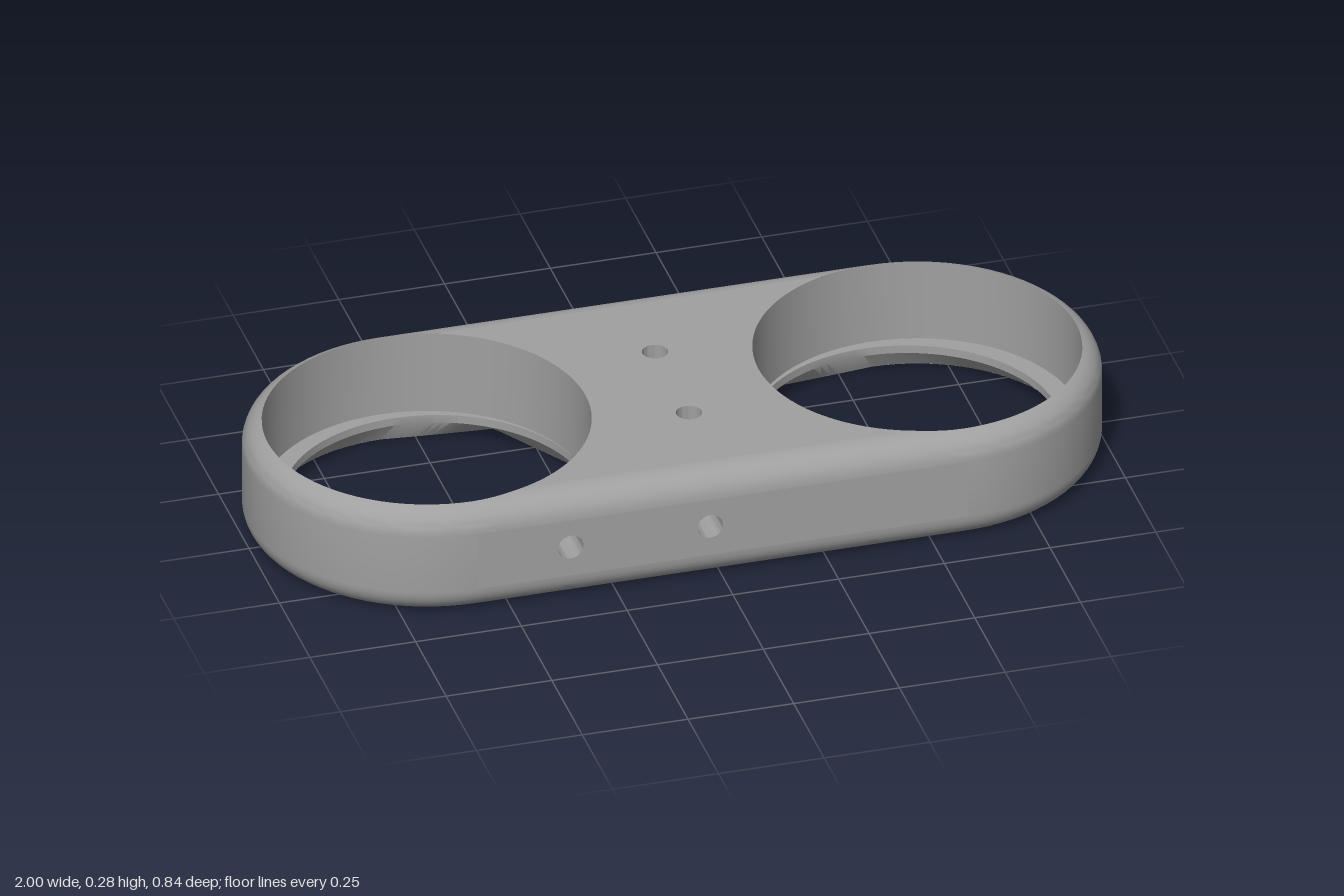
import * as THREE from 'three';
import { mergeGeometries, toCreasedNormals } from 'three/addons/utils/BufferGeometryUtils.js';

const H = 0.275, R = 0.42, C = 0.58, F = 0.065;      // height, end radius, end centre, fillet
const BORE = 0.375, LIP = 0.35, LIP_C = 0.555;
const PIN = 0.03, N = 120;

// Quads between rows of points; skip(row, column) leaves openings
function grid(rows, skip = () => false) {
  const w = rows[0].length, index = [];
  for (let r = 0; r < rows.length - 1; r++) {
    for (let c = 0; c < w - 1; c++) {
      if (skip(r, c)) continue;
      const a = r * w + c, b = a + w;
      index.push(a, b, a + 1, a + 1, b, b + 1);
    }
  }
  const g = new THREE.BufferGeometry();
  g.setAttribute('position', new THREE.Float32BufferAttribute(rows.flat(2), 3));
  g.setIndex(index);
  return g.toNonIndexed();
}

// Flat piece with round holes, stripped to positions
function flat(points, holes) {
  const shape = new THREE.Shape(points.map(p => new THREE.Vector2(p[0], p[1])));
  for (const [x, y] of holes) {
    shape.holes.push(new THREE.Path().absarc(x, y, PIN, 0, Math.PI * 2, true));
  }
  const g = new THREE.ShapeGeometry(shape, 16).toNonIndexed();
  g.deleteAttribute('uv');
  g.deleteAttribute('normal');
  return g;
}

// Height lost to the rounded edge at a point
function edgeDrop(x, z) {
  const inset = R - Math.hypot(Math.max(Math.abs(x) - C, 0), z);
  return inset >= F ? 0 : F - Math.sqrt(Math.max(0, F * F - (F - inset) ** 2));
}

// Radius of the faceted underside recess, angle measured from the outward end
function recessRadius(a) {
  const c = -Math.cos(a), s = Math.abs(Math.sin(a));
  if (c <= 0) return BORE;
  const cuts = [[1, 0, 0.45], [0.849, 0.529, 0.4087], [0.0767, 0.997, 0.3739]];
  return Math.min(...cuts.map(([nx, nz, d]) => d / (c * nx + s * nz)));
}

const angles = Array.from({ length: N + 1 }, (_, i) => (i / N) * Math.PI * 2);
const loop = (side, centre, radius, y) => angles.map(a => {
  const r = typeof radius === 'function' ? radius(a) : radius;
  const x = side * (centre + Math.cos(a) * r), z = Math.sin(a) * r;
  return [x, typeof y === 'function' ? y(x, z) : y, z];
});

// Rounded outer wall with the front face left open for its drilled panel
function shellGeometry() {
  const cols = [], K = 40, S = 58;
  for (const side of [1, -1]) {
    for (let i = 0; i < K; i++) {
      const a = side * Math.PI / 2 * (1 - 2 * i / K) * side + (side < 0 ? Math.PI : 0);
      cols.push([side * C, Math.cos(a), Math.sin(a)]);
    }
    for (let i = 0; i < S; i++) cols.push([side * C * (1 - 2 * i / S), 0, -side]);
  }
  cols.push(cols[0]);
  const boreEdge = x => Math.sqrt(Math.max(0, BORE ** 2 - (Math.abs(x) - C) ** 2));
  const recessEdge = x => BORE - 0.02 * Math.min(1, (C - Math.abs(x)) / 0.26);
  const rows = [], M = 8;
  const addRow = (t, top) => rows.push(cols.map(([x, nx, nz]) => {
    const limit = Math.min(F, R - (top ? boreEdge(x) : recessEdge(x)));
    const th = t * Math.acos(1 - limit / F);
    const d = R - F * (1 - Math.cos(th)), y = F * (1 - Math.sin(th));
    return [x + nx * d, top ? H - y : y, nz * d];
  }));
  for (let i = M; i >= 0; i--) addRow(i / M, false);
  for (let i = 0; i <= M; i++) addRow(i / M, true);
  const front = c => c >= cols.length - 1 - S || (cols[c][2] > 0.9999 && cols[c + 1][2] > 0.9999);
  return grid(rows, (r, c) => r === M && front(c));
}

// Bridge surface between the two openings
function bridgeGeometry(radius, y, holes) {
  const arc = loop(1, C, radius, 0).slice(N / 4, 3 * N / 4 + 1)
    .map(p => [p[0], p[2]]).filter(p => Math.abs(p[1]) < F + 0.289);
  const zEdge = R - F;
  const xEdge = radius === BORE ? C - Math.sqrt(BORE ** 2 - zEdge ** 2) : 0.32;
  const right = [[xEdge, zEdge], ...arc, [xEdge, -zEdge]];
  const left = right.map(([x, z]) => [-x, z]).reverse();
  return flat([...right, ...left], holes).rotateX(Math.PI / 2).translate(0, y, 0);
}

// Blind drilled hole, opening at y = 0 and running downwards
function drillGeometry(depth) {
  const ring = (r, y) => Array.from({ length: 33 }, (_, i) => {
    const a = i / 32 * Math.PI * 2;
    return [r * Math.cos(a), y, r * Math.sin(a)];
  });
  return grid([ring(PIN, 0), ring(PIN, -depth), ring(0.0001, -depth)]);
}

export function createModel() {
  const group = new THREE.Group();
  group.name = 'twinRingHolder';
  const grey = new THREE.MeshStandardMaterial({ color: 0xa0a0a0, side: THREE.DoubleSide });
  grey.name = 'grey';
  const add = (name, geometry) => {
    const mesh = new THREE.Mesh(toCreasedNormals(geometry, 0.5), grey);
    mesh.name = name;
    group.add(mesh);
    return mesh;
  };

  const topPins = [[0, 0.14], [0, -0.14]];
  const frontPins = [[-0.36, 0.14], [-0.03, 0.14]];

  // Outer body
  const panel = flat([[-C, F], [C, F], [C, H - F], [-C, H - F]], frontPins).translate(0, 0, R);
  add('outerShell', mergeGeometries([shellGeometry(), panel]));
  add('topBridge', bridgeGeometry(BORE, H, topPins));
  add('bottomBridge', bridgeGeometry(recessRadius, 0, []));

  // Openings: underside recess, retaining lip and main bore
  for (const side of [1, -1]) {
    add(side > 0 ? 'leftBore' : 'rightBore', grid([
      loop(side, C, recessRadius, edgeDrop),
      loop(side, LIP_C, LIP, 0.05),
      loop(side, LIP_C, LIP, 0.07),
      loop(side, C, BORE, 0.07),
      loop(side, C, BORE, (x, z) => H - edgeDrop(x, z)),
    ]));
  }

  // Drilled holes
  for (const [x, z] of topPins) add('topPinHole', drillGeometry(0.15)).position.set(x, H, z);
  for (const [x, y] of frontPins) {
    const hole = add('frontPinHole', drillGeometry(0.1));
    hole.rotation.x = Math.PI / 2;
    hole.position.set(x, y, R);
  }
  return group;
}
